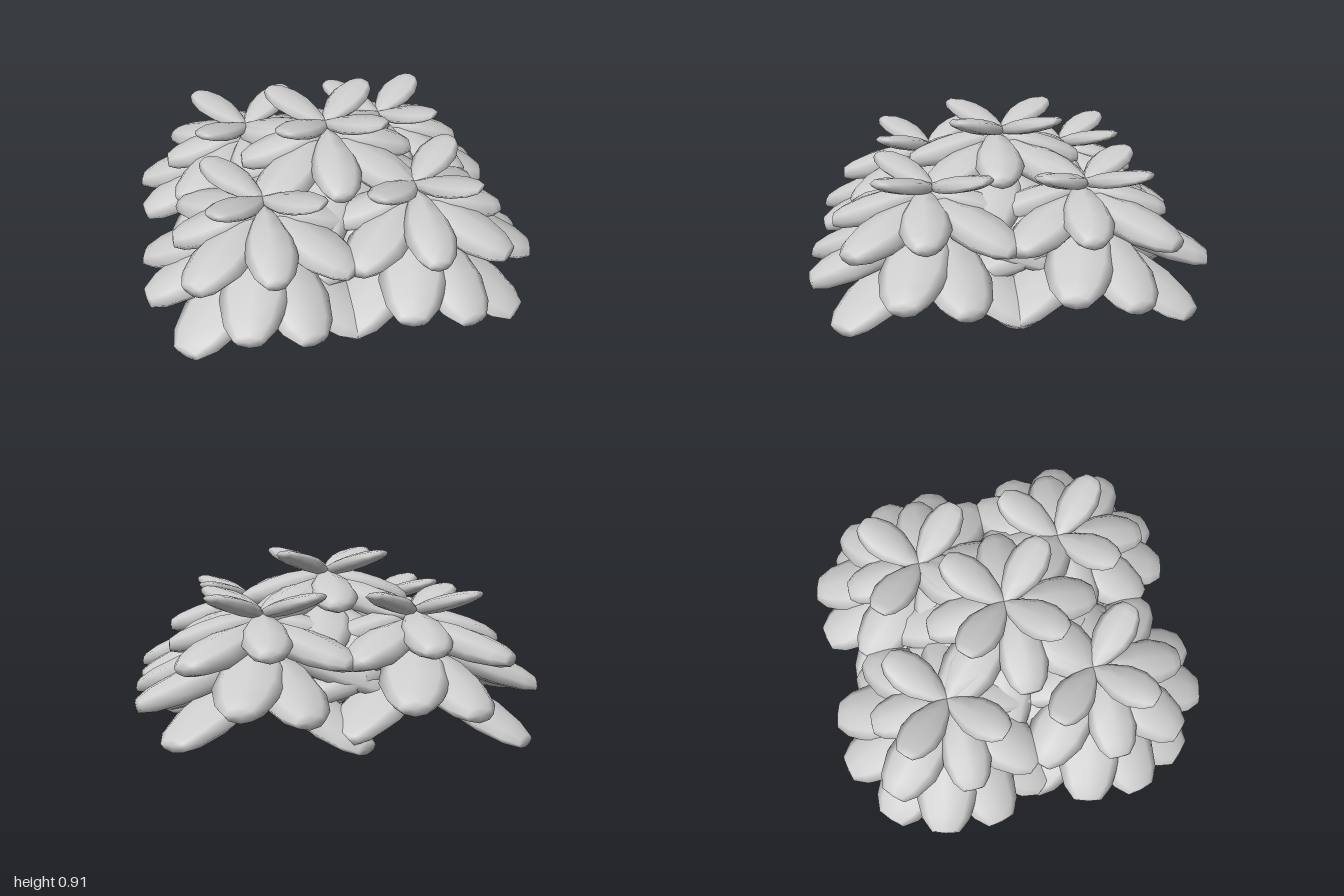
import * as THREE from 'three';

const material = new THREE.MeshStandardMaterial({ color: 0xcccccc });

// Petal cross-sections: [position along length, width factor, thickness factor]
const STATIONS = [
  [0, 0.2, 0.45], [0.2, 0.6, 0.85], [0.45, 0.95, 1],
  [0.68, 1, 0.92], [0.89, 0.76, 0.7], [1, 0.44, 0.42],
];
const SIDES = 8;

// Puffed leaf with a soft ridge, running out along +x from the rosette axis
function petalGeometry({ length, base, tip, width, thick }) {
  const pos = [], index = [];
  for (const [t, w, h] of STATIONS) {
    for (let j = 0; j < SIDES; j++) {
      const a = (j / SIDES) * Math.PI * 2;
      const lift = Math.sin(a) * (0.8 + 0.2 * Math.abs(Math.sin(a)));
      pos.push(length * t, base + (tip - base) * t + lift * h * thick / 2, Math.cos(a) * w * width / 2);
    }
  }
  const last = STATIONS.length - 1;
  const start = pos.length / 3, end = start + 1;
  pos.push(0, base, 0, length * 1.01, tip, 0);
  for (let j = 0; j < SIDES; j++) {
    const k = (j + 1) % SIDES;
    for (let i = 0; i < last; i++) {
      const a = i * SIDES + j, b = a + SIDES, c = i * SIDES + k, d = c + SIDES;
      index.push(a, b, c, b, d, c);
    }
    index.push(start, j, k, end, last * SIDES + k, last * SIDES + j);
  }
  const geo = new THREE.BufferGeometry();
  geo.setAttribute('position', new THREE.Float32BufferAttribute(pos, 3));
  geo.setIndex(index);
  geo.computeVertexNormals();
  return geo;
}

// Tiers of four petals each, from the raised crown to the drooping skirt
const TIERS = [
  { name: 'crownPetal', angle: 45, length: 0.36, base: 0.61, tip: 0.71, width: 0.21, thick: 0.085, z: 0 },
  { name: 'upperPetal', angle: 0, length: 0.445, base: 0.575, tip: 0.46, width: 0.25, thick: 0.15, z: 0.04 },
  { name: 'middlePetal', angle: 45, length: 0.535, base: 0.53, tip: 0.41, width: 0.3, thick: 0.16, z: 0.01 },
  { name: 'outerPetal', angle: 14, length: 0.615, base: 0.47, tip: 0.245, width: 0.33, thick: 0.17, z: 0 },
  { name: 'lowerPetal', angle: -14, length: 0.615, base: 0.42, tip: 0.205, width: 0.33, thick: 0.17, z: 0 },
  { name: 'skirtPetal', angle: 45, length: 0.615, base: 0.325, tip: 0.08, width: 0.36, thick: 0.14, z: 0 },
];

function createRosette(tiers) {
  const rosette = new THREE.Group();
  for (const { name, angle, z, geo, lowGeo } of tiers) {
    for (let i = 0; i < 4; i++) {
      // the skirt petal at the back corner hangs a little lower
      const petal = new THREE.Mesh(lowGeo && i === 2 ? lowGeo : geo, material);
      petal.name = name;
      petal.rotation.y = -THREE.MathUtils.degToRad(angle + i * 90);
      petal.position.z = z;
      rosette.add(petal);
    }
  }
  return rosette;
}

export function createModel() {
  const model = new THREE.Group();
  model.name = 'succulentCluster';
  const tiers = TIERS.map((t) => ({
    ...t,
    geo: petalGeometry(t),
    lowGeo: t.name === 'skirtPetal' ? petalGeometry({ ...t, tip: t.tip - 0.05 }) : null,
  }));

  // Four rosettes at the corners and a raised one in the middle
  const d = 0.382;
  const spots = [[-d, 0, -d], [d, 0, -d], [-d, 0, d], [d, 0, d], [0, 0.18, 0]];
  for (const [x, y, z] of spots) {
    const rosette = createRosette(tiers);
    rosette.name = y > 0 ? 'centreRosette' : 'cornerRosette';
    rosette.position.set(x, y, z);
    model.add(rosette);
  }
  return model;
}
